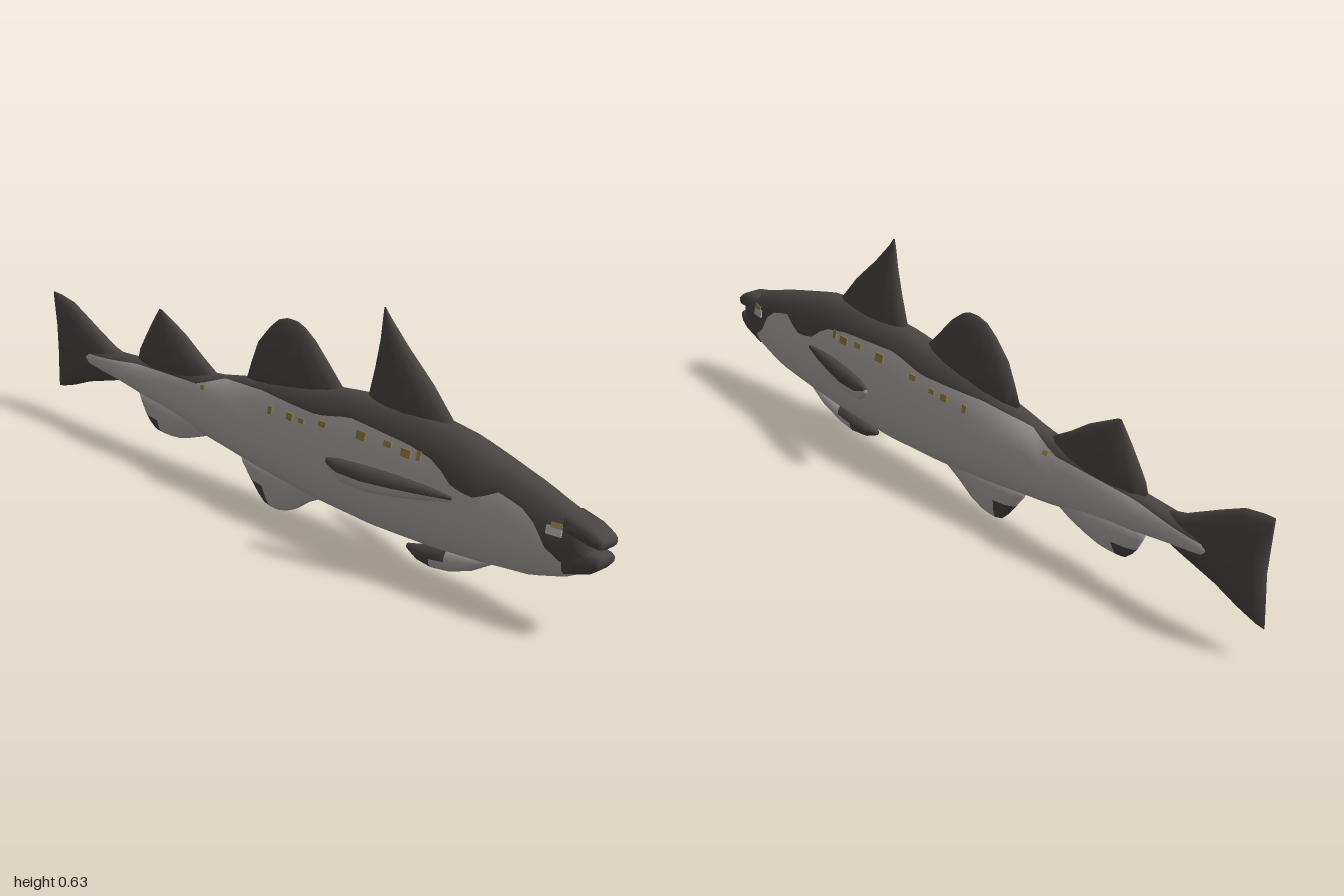
import * as THREE from 'three';

const mat = (name, color, side = THREE.FrontSide) => {
  const m = new THREE.MeshStandardMaterial({ color, side });
  m.name = name;
  return m;
};

// Skin through a list of equal-length rings; pick(row, col) gives the material index.
function loft(name, rings, mats, pick = () => 0) {
  const n = rings[0].length, pos = rings.flat(2), lists = mats.map(() => []);
  const tri = (m, a, b, c) => lists[m].push(a, b, c);
  for (let i = 0; i < rings.length - 1; i++) {
    for (let j = 0; j < n; j++) {
      const a = i * n + j, b = i * n + (j + 1) % n, m = pick(i, j);
      tri(m, a, a + n, b);
      tri(m, b, a + n, b + n);
    }
  }
  // end caps, fanned around the ring centre
  [0, rings.length - 1].forEach((r) => {
    const c = pos.length / 3;
    for (let k = 0; k < 3; k++) pos.push(rings[r].reduce((s, p) => s + p[k], 0) / n);
    for (let j = 0; j < n; j++) {
      const a = r * n + j, b = r * n + (j + 1) % n, m = pick(Math.min(r, rings.length - 2), j);
      r === 0 ? tri(m, c, a, b) : tri(m, c, b, a);
    }
  });
  // turn the skin outward if the rings run the other way
  const v = (i) => new THREE.Vector3().fromArray(pos, i * 3);
  const all = lists.flat();
  let volume = 0;
  for (let i = 0; i < all.length; i += 3) volume += v(all[i]).dot(v(all[i + 1]).cross(v(all[i + 2])));
  if (volume < 0) all.reverse();
  const order = lists.map((l, i) => [l.length, i]);
  if (volume < 0) order.reverse();
  const g = new THREE.BufferGeometry();
  g.setAttribute('position', new THREE.Float32BufferAttribute(pos, 3));
  g.setIndex(all);
  let start = 0;
  order.forEach(([len, i]) => { g.addGroup(start, len, i); start += len; });
  g.computeVertexNormals();
  const mesh = new THREE.Mesh(g, mats);
  mesh.name = name;
  return mesh;
}

const SIDES = 14;
const ring = (f, n = SIDES) => Array.from({ length: n }, (_, j) => {
  const t = (j / n) * Math.PI * 2;
  return f(Math.cos(t), Math.sin(t));
});
const soft = (v, p) => Math.sign(v) * Math.abs(v) ** p;

// Piecewise-linear lookup in rows of [z, value], z falling
function lookup(rows, z) {
  if (z >= rows[0][0]) return rows[0][1];
  for (let i = 1; i < rows.length; i++) {
    const [z0, a] = rows[i - 1], [z1, b] = rows[i];
    if (z >= z1) return a + (b - a) * (z0 - z) / (z0 - z1);
  }
  return rows[rows.length - 1][1];
}

// Body outline along its length
const TOP = [[0.96, 0.295], [0.8, 0.345], [0.6, 0.398], [0.48, 0.412], [0.25, 0.405], [0, 0.37], [-0.28, 0.31],
  [-0.6, 0.272], [-0.8, 0.256], [-0.845, 0.24]];
const BOTTOM = [[0.96, 0.185], [0.9, 0.15], [0.8, 0.118], [0.65, 0.1], [0.5, 0.085], [0.3, 0.076], [0.1, 0.083],
  [-0.1, 0.1], [-0.3, 0.125], [-0.5, 0.158], [-0.7, 0.187], [-0.81, 0.197], [-0.845, 0.215]];
const WIDTH = [[0.96, 0.036], [0.8, 0.058], [0.65, 0.07], [0.4, 0.073], [0.1, 0.066], [-0.2, 0.052], [-0.4, 0.04],
  [-0.6, 0.034], [-0.8, 0.031], [-0.845, 0.022]];
// Height where the dark back meets the pale flank
const BORDER = [[0.96, 0.19], [0.87, 0.2], [0.84, 0.26], [0.79, 0.295], [0.72, 0.312], [0.67, 0.28], [0.6, 0.285],
  [0.54, 0.33], [0.45, 0.347], [0.25, 0.355], [0.14, 0.33], [-0.08, 0.33], [-0.24, 0.315], [-0.34, 0.277],
  [-0.6, 0.262], [-0.72, 0.246], [-0.845, 0.235]];

function section(z) {
  const t = lookup(TOP, z), b = lookup(BOTTOM, z);
  return { c: (t + b) / 2, h: (t - b) / 2, w: lookup(WIDTH, z) };
}
function skinX(y, z) {
  const { c, h, w } = section(z);
  return w * Math.max(0, 1 - ((y - c) / h) ** 2) ** 0.43;
}

export function createModel() {
  const dark = mat('dark back', 0x4a4543);
  const pale = mat('pale belly', 0xafa9a8);
  const ochre = mat('ochre fleck', 0x8f7a45);
  const both = [dark, pale];
  const fish = new THREE.Group();
  fish.name = 'fish';

  // Body: the first half of each ring lies above the colour border
  const HALF = 12, rows = 54, bodyRings = [];
  for (let i = 0; i <= rows; i++) {
    const z = 0.96 - 1.805 * i / rows, { c, h, w } = section(z);
    const a = Math.asin(THREE.MathUtils.clamp((lookup(BORDER, z) - c) / h, -0.97, 0.97));
    bodyRings.push(Array.from({ length: HALF * 2 }, (_, j) => {
      const t = j < HALF ? a + (Math.PI - 2 * a) * j / HALF
        : Math.PI - a + (Math.PI + 2 * a) * (j - HALF) / HALF;
      return [w * soft(Math.cos(t), 0.86), c + h * Math.sin(t), z];
    }));
  }
  fish.add(loft('body', bodyRings, both, (i, j) => (j < HALF ? 0 : 1)));

  // Jaws, rows of [z, centre y, half height, half width]
  const jaw = (name, rowsIn) => fish.add(loft(name, rowsIn.map(([z, y, h, w]) =>
    ring((c, s) => [w * soft(c, 0.6), y + h * soft(s, 0.7), z])), [dark]));
  jaw('upperJaw', [[0.9, 0.275, 0.034, 0.04], [0.96, 0.272, 0.024, 0.036], [0.99, 0.264, 0.018, 0.031], [1, 0.262, 0.011, 0.027]]);
  jaw('lowerJaw', [[0.9, 0.195, 0.036, 0.04], [0.96, 0.207, 0.029, 0.035], [0.985, 0.215, 0.019, 0.031], [0.995, 0.218, 0.011, 0.026]]);

  // Upright fins, rows of [y, front z, rear z, half width] from root to tip
  const fin = (name, rowsIn, mats, pick) => fish.add(loft(name, rowsIn.map(([y, f, r, w]) =>
    ring((c, s) => [w * c, y, (f + r) / 2 + (f - r) / 2 * s])), mats, pick));
  fin('firstDorsalFin', [[0.36, 0.55, 0.26, 0.027], [0.41, 0.535, 0.265, 0.027], [0.48, 0.47, 0.285, 0.026],
    [0.55, 0.39, 0.3, 0.017], [0.61, 0.33, 0.307, 0.007], [0.632, 0.314, 0.309, 0.001]], [dark]);
  fin('secondDorsalFin', [[0.32, 0.2, -0.18, 0.027], [0.385, 0.18, -0.155, 0.027], [0.44, 0.125, -0.13, 0.025],
    [0.49, 0.075, -0.085, 0.017], [0.515, 0.04, -0.055, 0.009], [0.525, 0.015, -0.025, 0.002]], [dark]);
  fin('thirdDorsalFin', [[0.25, -0.25, -0.625, 0.027], [0.3, -0.285, -0.61, 0.027], [0.34, -0.355, -0.585, 0.025],
    [0.38, -0.415, -0.56, 0.017], [0.41, -0.475, -0.54, 0.009], [0.43, -0.515, -0.527, 0.001]], [dark]);
  const rearTip = (i, j) => (i >= 2 && j >= 8 && j <= 12 ? 0 : 1);
  fin('firstAnalFin', [[0.13, 0.18, -0.21, 0.027], [0.095, 0.13, -0.195, 0.027], [0.06, 0.06, -0.165, 0.024],
    [0.025, 0.01, -0.135, 0.015], [0.007, -0.03, -0.115, 0.007], [0, -0.06, -0.09, 0.001]], both, rearTip);
  fin('secondAnalFin', [[0.19, -0.25, -0.63, 0.026], [0.15, -0.28, -0.61, 0.026], [0.12, -0.345, -0.592, 0.023],
    [0.1, -0.4, -0.575, 0.016], [0.085, -0.45, -0.555, 0.008], [0.08, -0.485, -0.53, 0.001]], both, rearTip);

  // Tail fin, with a hollowed rear edge: rows of [z, top, bottom, half width, hollow]
  fish.add(loft('tailFin', [[-0.68, 0.262, 0.19, 0.02, 0], [-0.74, 0.277, 0.172, 0.025, 0], [-0.84, 0.327, 0.142, 0.026, 0],
    [-0.91, 0.36, 0.113, 0.024, 0], [-0.97, 0.37, 0.095, 0.02, 0.008], [-1, 0.372, 0.09, 0.008, 0.022]]
    .map(([z, t, b, w, k]) => ring((c, s) =>
      [w * c, (t + b) / 2 + (t - b) / 2 * s, z + k * (1 - s * s) + (s < 0 ? k * 0.5 * s * s : 0)], 18)), [dark]));

  // Swept fin under the chest, with a dark tip
  fish.add(loft('pelvicFin', [[0.67, 0.108, 0.01, 0.02], [0.61, 0.088, 0.026, 0.028], [0.54, 0.068, 0.032, 0.028],
    [0.49, 0.058, 0.03, 0.026], [0.44, 0.052, 0.02, 0.019], [0.4, 0.055, 0.007, 0.006]]
    .map(([z, y, h, w]) => ring((c, s) => [w * c, y + h * s, z])), both,
    (i, j) => (i >= 3 || (i === 2 && j < 7) ? 0 : 1)));

  // Side fins: rows of [z, centre x, centre y, half height, half width]
  const eyeAt = new THREE.Vector3();
  for (const side of [1, -1]) {
    const label = side > 0 ? 'left' : 'right';
    fish.add(loft(label + 'PectoralFin', [[0.6, 0.066, 0.257, 0.008, 0.006], [0.53, 0.08, 0.255, 0.02, 0.016],
      [0.45, 0.098, 0.253, 0.029, 0.021], [0.37, 0.116, 0.252, 0.034, 0.022], [0.3, 0.13, 0.256, 0.03, 0.017],
      [0.265, 0.138, 0.268, 0.014, 0.007]]
      .map(([z, x, y, h, w]) => ring((c, s) => [side * (x + w * c + 0.004 * s), y + h * s, z])), both,
      (i, j) => (j < 7 ? 0 : 1)));

    // Thin plates laid on the skin: [z, y, length, height]
    const plate = (name, [z, y, l, h], m) => {
      const e = 0.01, x = skinX(y, z);
      const p = new THREE.Mesh(new THREE.BoxGeometry(l, h, 0.006), m);
      p.position.set(side * x, y, z);
      eyeAt.set(side, -(skinX(y + e, z) - x) / e, -(skinX(y, z + e) - x) / e);
      p.lookAt(eyeAt.add(p.position));
      p.name = label + name;
      fish.add(p);
    };
    plate('EyePatch', [0.88, 0.265, 0.04, 0.02], pale);
    plate('Eye', [0.885, 0.278, 0.03, 0.012], ochre);
    [[0.49, 0.33, 0.012, 0.022], [0.45, 0.325, 0.03, 0.02], [0.39, 0.33, 0.025, 0.014], [0.3, 0.325, 0.03, 0.022],
      [0.165, 0.315, 0.025, 0.014], [0.09, 0.302, 0.02, 0.012], [0.045, 0.3, 0.022, 0.018], [-0.03, 0.295, 0.014, 0.02],
      [-0.31, 0.275, 0.016, 0.012]].forEach((f) => plate('Fleck', f, ochre));
  }
  return fish;
}
